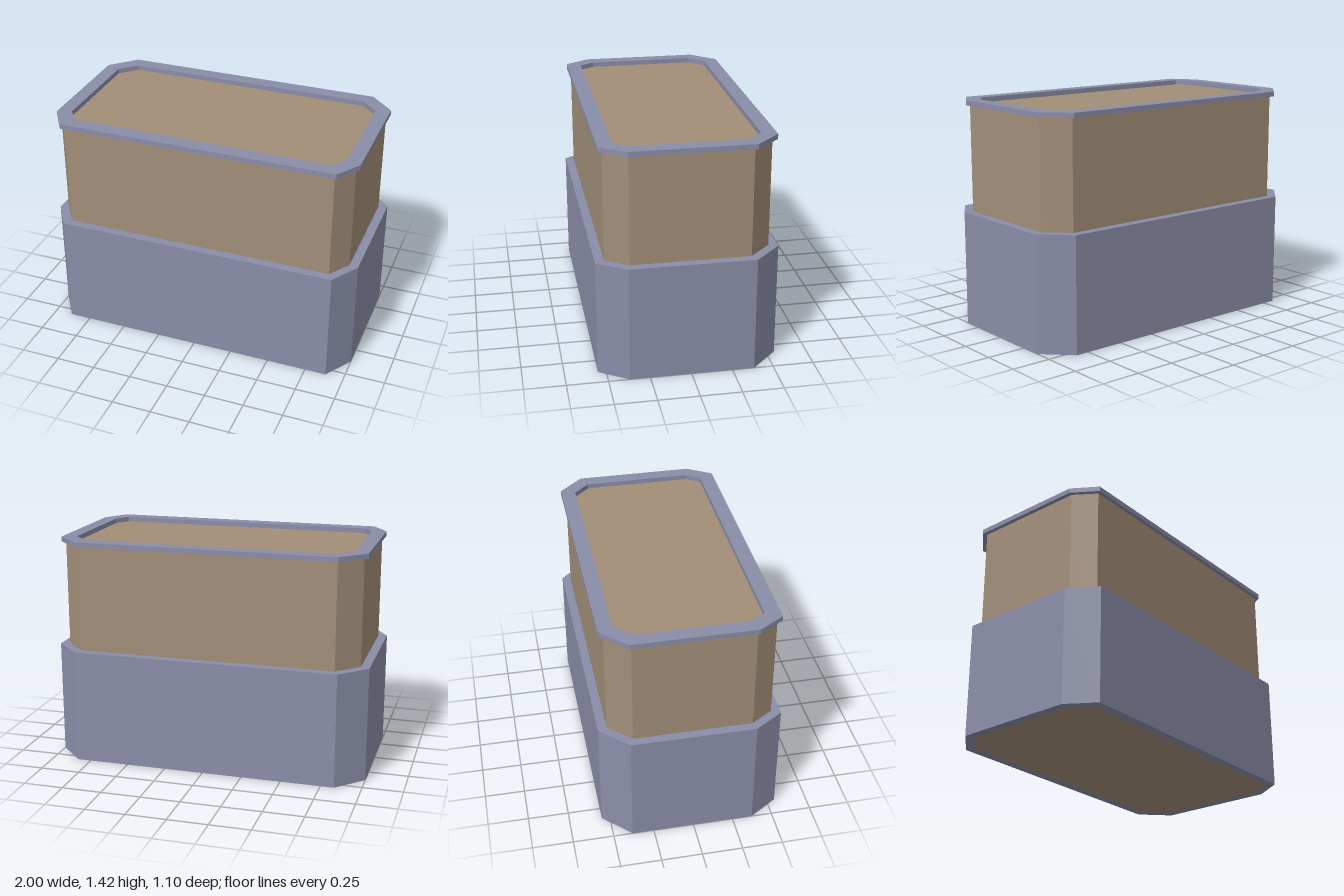
import * as THREE from 'three';

// Chamfered rectangle; front and back corners are cut differently.
// Shape y is -z, so an upward extrusion lies correctly after rotation.
function outline({ x, back, front, backX, backZ, frontX, frontZ }, PathType) {
  const half = [[frontX, -front], [x, -frontZ], [x, backZ], [backX, back]];
  const mirrored = half.map(([px, py]) => [-px, py]).reverse();
  return new PathType([...half, ...mirrored].map(([px, py]) => new THREE.Vector2(px, py)));
}

// Upright prism between two heights, with an optional opening
function prism(name, outer, inner, bottom, top, material) {
  const shape = outline(outer, THREE.Shape);
  if (inner) shape.holes.push(outline(inner, THREE.Path));
  const geometry = new THREE.ExtrudeGeometry(shape, { depth: top - bottom, bevelEnabled: false });
  geometry.rotateX(-Math.PI / 2).translate(0, bottom, 0);
  const mesh = new THREE.Mesh(geometry, material);
  mesh.name = name;
  return mesh;
}

export function createModel() {
  const blue = new THREE.MeshStandardMaterial({ color: 0x8a8da8 });
  blue.name = 'slate blue';
  const brown = new THREE.MeshStandardMaterial({ color: 0xa28e78 });
  brown.name = 'tan brown';

  const base = { x: 1, back: 0.55, front: 0.55, backX: 0.835, backZ: 0.383, frontX: 0.885, frontZ: 0.373 };
  const body = { x: 0.945, back: 0.495, front: 0.495, backX: 0.81, backZ: 0.36, frontX: 0.855, frontZ: 0.36 };
  const rim = { x: 0.97, back: 0.525, front: 0.52, backX: 0.82, backZ: 0.373, frontX: 0.87, frontZ: 0.365 };
  const opening = { x: 0.88, back: 0.435, front: 0.428, backX: 0.78, backZ: 0.335, frontX: 0.82, frontZ: 0.335 };

  const model = new THREE.Group();
  model.name = 'building';
  model.add(
    // Lower storey wraps the core, which shows again underneath
    prism('lowerStorey', base, body, 0, 0.72, blue),
    prism('core', body, null, 0, 1.387, brown),
    // Parapet ring around the sunken roof
    prism('parapet', rim, opening, 1.387, 1.418, blue)
  );
  return model;
}
